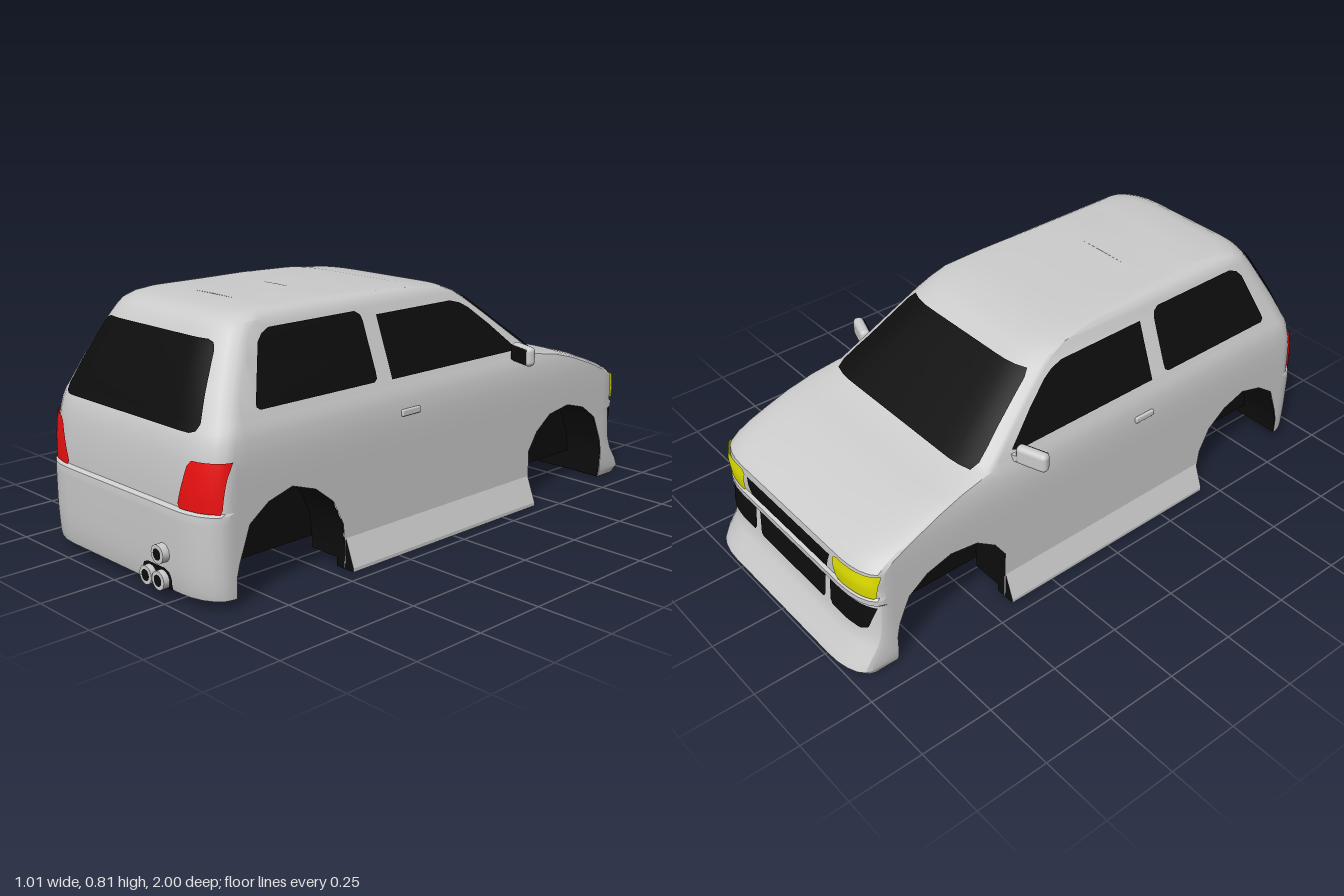
import * as THREE from 'three';
import { toCreasedNormals } from 'three/addons/utils/BufferGeometryUtils.js';
import { RoundedBoxGeometry } from 'three/addons/geometries/RoundedBoxGeometry.js';

const mat = (color) => new THREE.MeshStandardMaterial({ color, side: THREE.DoubleSide });
const GREY = new THREE.MeshStandardMaterial({ color: 0xcccccc });
const BLACK = mat(0x0d0d0d), RED = mat(0xee1010), YELLOW = mat(0xe0e000);

// horizontal body sections: [height, nose z, tail z, half width]
const LEVELS = [
  [0, -0.985, 0.95, 0.412], [0.02, -1, 0.96, 0.418], [0.05, -0.985, 0.967, 0.42], [0.1, -0.95, 0.97, 0.42],
  [0.14, -0.935, 0.972, 0.42], [0.255, -0.925, 0.972, 0.42], [0.262, -0.94, 0.972, 0.42], [0.28, -0.94, 0.97, 0.42],
  [0.287, -0.93, 0.955, 0.42], [0.335, -0.935, 0.955, 0.42], [0.38, -0.93, 0.952, 0.42], [0.405, -0.9, 0.95, 0.419],
  [0.43, -0.85, 0.947, 0.418], [0.45, -0.8, 0.944, 0.416], [0.48, -0.72, 0.937, 0.412], [0.505, -0.63, 0.928, 0.406],
  [0.525, -0.51, 0.918, 0.398], [0.54, -0.49, 0.912, 0.392], [0.6, -0.412, 0.885, 0.3695], [0.68, -0.31, 0.843, 0.339],
  [0.74, -0.23, 0.81, 0.317], [0.765, -0.19, 0.793, 0.3075], [0.785, -0.14, 0.775, 0.3], [0.8, 0, 0.745, 0.285],
  [0.809, 0.2, 0.7, 0.268], [0.812, 0.35, 0.6, 0.25]];
const FRONT_ARCH = [[-0.84, 0.1], [-0.83, 0.15], [-0.79, 0.24], [-0.72, 0.29], [-0.63, 0.315], [-0.53, 0.3], [-0.46, 0.25], [-0.42, 0.19]];
const REAR_ARCH = [[0.45, 0.06], [0.46, 0.15], [0.5, 0.23], [0.57, 0.285], [0.66, 0.315], [0.75, 0.29], [0.82, 0.24], [0.86, 0.13], [0.87, 0.09]];
// side columns: [z, lowest y of the panel there]
const COLUMNS = [[-0.84, 0], ...FRONT_ARCH, [-0.42, 0], [0.45, 0], ...REAR_ARCH, [0.87, 0.03]];
const INSET = 0.14, DEPTH = { front: 0.06, rear: 0.08 };

function section(y) {
  let i = 0;
  while (i < LEVELS.length - 2 && y > LEVELS[i + 1][0]) i++;
  const a = LEVELS[i], b = LEVELS[i + 1];
  const t = Math.min(1, Math.max(0, (y - a[0]) / (b[0] - a[0])));
  const [zf, zr, w] = [1, 2, 3].map((k) => a[k] + (b[k] - a[k]) * t);
  return { zf, zr, w };
}
// point on the nose or tail: p 0..1 runs over the flat part, 1..2 round the corner
function endPoint(end, y, p) {
  const s = section(y), q = Math.abs(p), flat = s.w - INSET, d = DEPTH[end];
  const angle = Math.max(0, q - 1) * Math.PI / 2;
  const x = Math.sign(p) * (Math.min(q, 1) * flat + INSET * Math.sin(angle));
  const back = d * (1 - Math.cos(angle));
  return [x, y, end === 'rear' ? s.zr - back : s.zf + back];
}
function xToP(y, x) {
  const flat = section(y).w - INSET, q = Math.abs(x);
  return Math.sign(x) * (q <= flat ? q / flat : 1 + Math.asin(Math.min(1, (q - flat) / INSET)) * 2 / Math.PI);
}

// skin a list of equal-length point rows
function skin(rows, closed = false, crease = 0.5) {
  const out = [], n = rows[0].length;
  const tri = (...c) => {
    const [a, b, d] = c.map((v) => new THREE.Vector3(...v));
    if (b.clone().sub(a).cross(d.clone().sub(a)).length() > 1e-7) c.forEach((v) => out.push(...v));
  };
  for (let i = 0; i < rows.length - 1; i++) {
    for (let j = 0; j < (closed ? n : n - 1); j++) {
      const k = (j + 1) % n, a = rows[i][j], b = rows[i + 1][j], c = rows[i + 1][k], d = rows[i][k];
      tri(a, b, c);
      tri(a, c, d);
    }
  }
  const g = new THREE.BufferGeometry();
  g.setAttribute('position', new THREE.Float32BufferAttribute(out, 3));
  return toCreasedNormals(g, crease);
}

function bodyRing(y) {
  const ps = [0, 0.5, 1, 1.2, 1.4, 1.6, 1.8, 2];
  const yr = Math.max(y, 0.03);
  const half = ps.map((p) => endPoint('front', y, p));
  for (const [z, low] of COLUMNS) {
    const h = Math.max(y, low), s = section(h);
    half.push([s.w, h, Math.min(s.zr - DEPTH.rear, Math.max(s.zf + DEPTH.front, z))]);
  }
  half.push(...ps.slice().reverse().map((p) => endPoint('rear', yr, p)));
  return [...half, ...half.slice(1, -1).reverse().map(([x, h, z]) => [-x, h, z])];
}

// thin panel lying on the body; outline rows are [y, from, to], in x on the ends and z on the sides
function panel(where, outline, sign = 1) {
  const rows = [], N = 14, OFF = 0.007;
  for (let i = 0; i < outline.length - 1; i++) {
    for (let k = i ? 1 : 0; k <= 5; k++) {
      const [y, a, b] = outline[i].map((v, m) => v + (outline[i + 1][m] - v) * k / 5);
      const row = [];
      for (let j = 0; j <= N; j++) {
        const t = j / N;
        if (where === 'side') row.push([sign * (section(y).w + 0.004), y, a + (b - a) * t]);
        else {
          const pa = xToP(y, a), pb = xToP(y, b);
          const [x, h, z] = endPoint(where, y, pa + (pb - pa) * t);
          row.push([sign * (x + Math.sign(x) * (Math.abs(x) > 0.34 ? 0.003 : 0)), h + 0.001, z + (where === 'rear' ? OFF : -OFF)]);
        }
      }
      rows.push(row);
    }
  }
  return skin(rows);
}

export function createModel() {
  const car = new THREE.Group();
  car.name = 'carBody';
  const add = (name, geometry, material = GREY, x = 0, y = 0, z = 0) => {
    const m = new THREE.Mesh(geometry, material);
    m.name = name;
    m.position.set(x, y, z);
    car.add(m);
    return m;
  };

  // painted shell with wheel arches, closed along the middle of the roof
  const rings = LEVELS.map((l) => bodyRing(l[0]));
  rings.push(rings[rings.length - 1].map(([, , z]) => [0, 0.813, z]));
  add('shell', skin(rings, true));

  // glass and grilles
  add('windscreen', panel('front', [[0.528, -0.35, 0.35], [0.545, -0.357, 0.357], [0.72, -0.298, 0.298], [0.738, -0.285, 0.285]]), BLACK);
  add('rearWindow', panel('rear', [[0.503, -0.3, 0.3], [0.51, -0.322, 0.322], [0.53, -0.328, 0.328], [0.715, -0.272, 0.272], [0.733, -0.26, 0.26], [0.74, -0.24, 0.24]]), BLACK);
  add('upperGrille', panel('front', [[0.302, -0.215, 0.215], [0.365, -0.235, 0.235]]), BLACK);
  add('lowerGrille', panel('front', [[0.155, -0.175, 0.175], [0.165, -0.185, 0.185], [0.25, -0.19, 0.19]]), BLACK);

  for (const s of [1, -1]) {
    const side = s > 0 ? 'left' : 'right';
    add(side + 'RearSideWindow', panel('side', [[0.553, 0.3, 0.75], [0.562, 0.287, 0.762], [0.58, 0.285, 0.757], [0.73, 0.285, 0.7], [0.75, 0.29, 0.68], [0.763, 0.31, 0.65]], s), BLACK);
    add(side + 'DoorWindow', panel('side', [[0.55, -0.34, 0.225], [0.56, -0.365, 0.225], [0.65, -0.265, 0.225], [0.71, -0.19, 0.225], [0.73, -0.155, 0.225], [0.742, -0.11, 0.225]], s), BLACK);
    add(side + 'TailLight', panel('rear', [[0.287, 0.285, 0.408], [0.3, 0.277, 0.411], [0.415, 0.313, 0.418], [0.432, 0.328, 0.418]], s), RED);
    add(side + 'Headlight', panel('front', [[0.29, 0.27, 0.405], [0.3, 0.258, 0.412], [0.365, 0.25, 0.419], [0.378, 0.262, 0.419]], s), YELLOW);
    add(side + 'BumperOpening', panel('front', [[0.155, 0.225, 0.36], [0.17, 0.215, 0.385], [0.25, 0.212, 0.408]], s), BLACK);

    // flared sill
    const sill = new THREE.Shape([[0.38, 0], [0.453, 0], [0.453, 0.012], [0.42, 0.1], [0.38, 0.1]].map(([x, y]) => new THREE.Vector2(s * x, y)));
    add(side + 'Sill', new THREE.ExtrudeGeometry(sill, { depth: 0.868, bevelEnabled: false }), [BLACK, GREY], 0, 0, -0.419);

    // wheel wells
    for (const [name, arch, z0, z1] of [['Front', FRONT_ARCH, -0.84, -0.42], ['Rear', REAR_ARCH, 0.45, 0.87]]) {
      const path = [[z0, 0.03], ...arch, [z1, 0.03]];
      add(side + name + 'WellLining', skin([0.27, 0.417].map((x) => path.map(([z, y]) => [s * x, y, z]))), BLACK);
      add(side + name + 'WellWall', skin([path.map(([z]) => [s * 0.27, 0.07, z]), path.map(([z, y]) => [s * 0.27, Math.max(y, 0.07), z])]), BLACK);
    }

    // mirror with glass
    const mirror = new THREE.Group();
    mirror.name = side + 'Mirror';
    const housing = new THREE.Mesh(new RoundedBoxGeometry(0.108, 0.066, 0.036, 3, 0.016), GREY);
    housing.name = 'mirrorHousing';
    const glass = new THREE.Mesh(new RoundedBoxGeometry(0.088, 0.05, 0.008, 2, 0.004), BLACK);
    glass.name = 'mirrorGlass';
    glass.position.z = 0.017;
    const stalk = new THREE.Mesh(new THREE.BoxGeometry(0.05, 0.022, 0.018), GREY);
    stalk.name = 'mirrorStalk';
    stalk.position.set(-s * 0.06, -0.015, -0.005);
    mirror.add(housing, glass, stalk);
    mirror.position.set(s * 0.45, 0.549, -0.335);
    mirror.rotation.y = -s * 0.33;
    car.add(mirror);

    add(side + 'DoorHandle', new RoundedBoxGeometry(0.012, 0.022, 0.08, 2, 0.005), GREY, s * 0.42, 0.445, 0.17);
  }

  // underside, cut away at the wheels
  const edge = [[0.28, -0.95], [0.4, -0.9], [0.41, -0.84], [0.27, -0.84], [0.27, -0.42], [0.41, -0.42], [0.41, 0.45],
    [0.27, 0.45], [0.27, 0.87], [0.41, 0.87], [0.28, 0.95]];
  const outline = [...edge, ...edge.slice().reverse().map(([x, z]) => [-x, z])];
  const floor = new THREE.ShapeGeometry(new THREE.Shape(outline.map(([x, z]) => new THREE.Vector2(x, z))));
  add('floor', floor.rotateX(Math.PI / 2), BLACK, 0, 0.07, 0);
  const bumperFloor = (name, ring, keep) => {
    const pts = ring.filter(([, , z]) => keep(z)).sort((a, b) => a[0] - b[0]);
    const inner = keep(-1) ? -0.84 : 0.87;
    add(name, skin([pts, pts.map(([x, y]) => [x, y, inner])]), BLACK);
  };
  bumperFloor('frontBumperBase', rings[0], (z) => z <= -0.84);
  bumperFloor('rearBumperBase', rings[0], (z) => z >= 0.87);
  add('frontBumperBack', new THREE.BoxGeometry(0.82, 0.08, 0.006), BLACK, 0, 0.041, -0.843);
  add('rearBumperBack', new THREE.BoxGeometry(0.82, 0.05, 0.006), BLACK, 0, 0.056, 0.873);

  // exhaust: recess, tips, silencers and pipes
  add('exhaustRecess', panel('rear', [[0.032, 0.115, 0.255], [0.07, 0.115, 0.255], [0.088, 0.124, 0.246], [0.096, 0.145, 0.225]]), BLACK);
  const tip = (name, x, y, z0, z1) => {
    add(name, new THREE.CylinderGeometry(0.029, 0.029, z1 - z0, 20).rotateX(Math.PI / 2), GREY, x, y, (z0 + z1) / 2);
    add(name + 'Bore', new THREE.CircleGeometry(0.018, 20), BLACK, x, y, z1 + 0.001);
  };
  tip('outerExhaust', 0.215, 0.06, 0.77, 0.995);
  tip('innerExhaust', 0.155, 0.06, 0.77, 0.995);
  tip('upperExhaust', 0.215, 0.14, 0.9, 0.995);
  for (const x of [0.155, 0.215]) {
    const path = new THREE.CatmullRomCurve3([[x, 0.06, 0.78], [x, 0.065, 0.5], [x - 0.01, 0.072, 0.2], [0.17, 0.08, -0.05]].map((p) => new THREE.Vector3(...p)));
    add('exhaustPipe', new THREE.TubeGeometry(path, 16, 0.016, 10), GREY);
  }
  return car;
}
